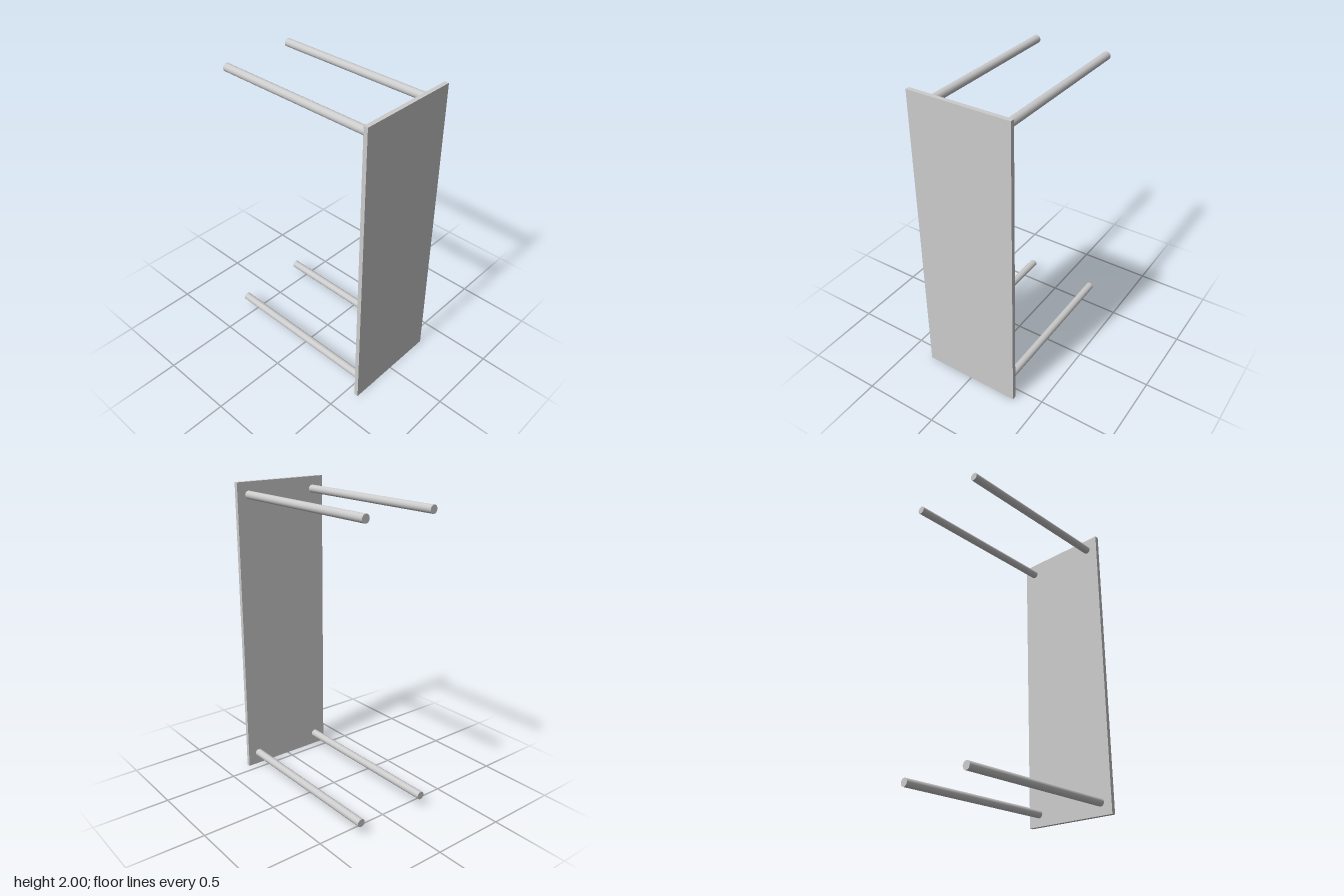
import * as THREE from 'three';

const HEIGHT = 2, WIDTH = 0.667, DEPTH = 1.167, THICK = 0.028;
const LEG_RADIUS = 0.0265, INSET = 0.083;

export function createModel() {
  const model = new THREE.Group();
  model.name = 'table';
  const material = new THREE.MeshStandardMaterial({ color: 0xcccccc });

  // Table top, standing upright on its short edge and facing the front
  const top = new THREE.Mesh(new THREE.BoxGeometry(WIDTH, HEIGHT, THICK), material);
  top.name = 'tableTop';
  top.position.set(0, HEIGHT / 2, DEPTH / 2 - THICK / 2);
  model.add(top);

  // Four round legs reaching straight back from the corners
  const legLength = DEPTH - THICK;
  const legGeometry = new THREE.CylinderGeometry(LEG_RADIUS, LEG_RADIUS, legLength, 16);
  legGeometry.rotateX(Math.PI / 2);
  for (const [side, sx] of [['left', 1], ['right', -1]]) {
    for (const [level, y] of [['Lower', INSET], ['Upper', HEIGHT - INSET]]) {
      const leg = new THREE.Mesh(legGeometry, material);
      leg.name = `${side}${level}Leg`;
      leg.position.set(sx * (WIDTH / 2 - INSET), y, -THICK / 2);
      model.add(leg);
    }
  }
  return model;
}
